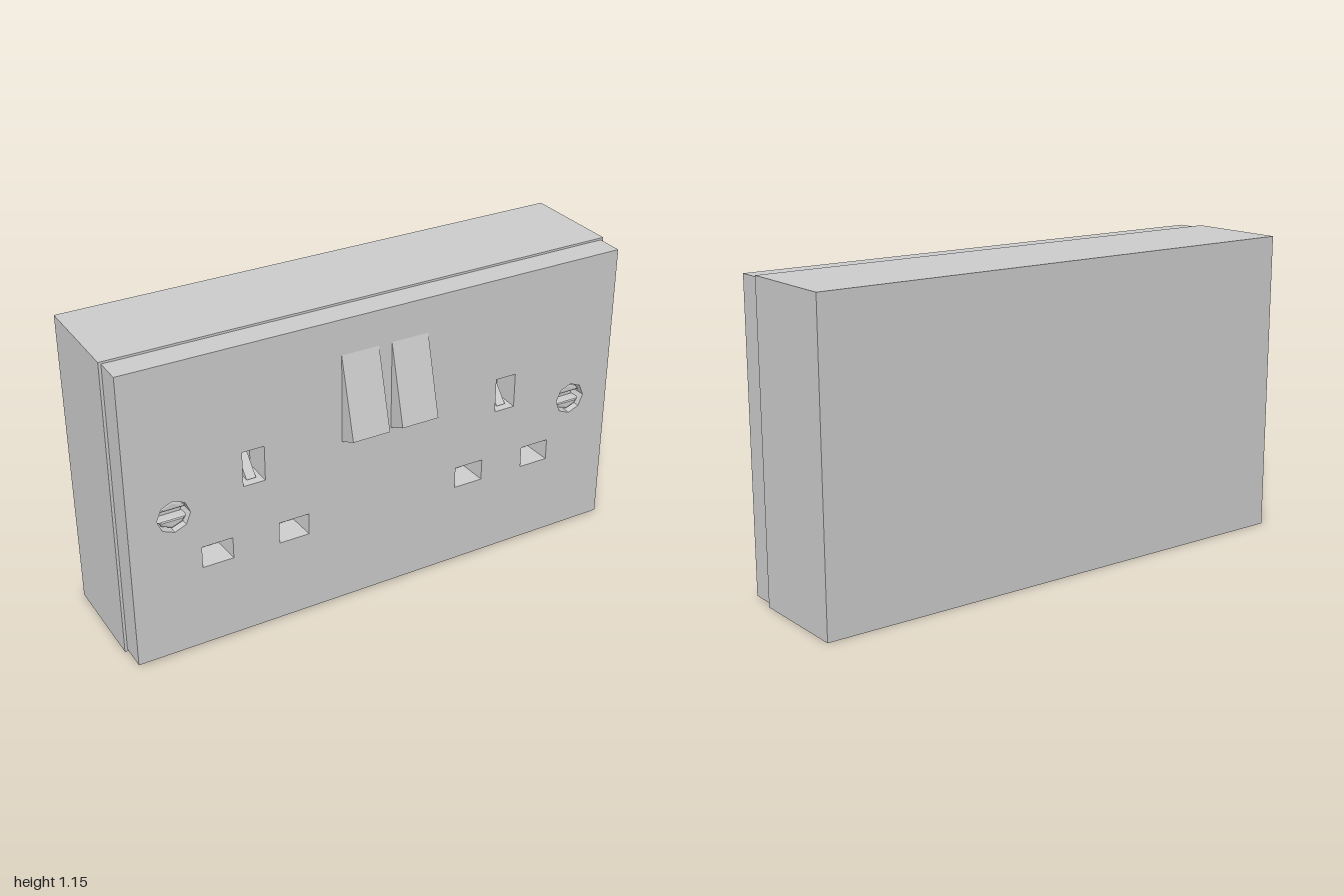
import * as THREE from 'three';

const material = new THREE.MeshStandardMaterial({ color: 0xcccccc, flatShading: true });
const BACK = -0.288, SEAM = 0.105, FACE = 0.208;

function add(parent, name, geometry, x = 0, y = 0, z = 0) {
  const mesh = new THREE.Mesh(geometry, material);
  mesh.name = name;
  mesh.position.set(x, y, z);
  parent.add(mesh);
  return mesh;
}

const polygon = (points) => new THREE.Shape(points.map(([x, y]) => new THREE.Vector2(x, y)));
const rect = (x, y, w, h) => polygon([
  [x - w / 2, y - h / 2], [x + w / 2, y - h / 2], [x + w / 2, y + h / 2], [x - w / 2, y + h / 2],
]);

// Side profile (z, y) extruded along x and centred on it
function sideExtrude(points, width) {
  return new THREE.ExtrudeGeometry(polygon(points), { depth: width, bevelEnabled: false })
    .rotateY(-Math.PI / 2).translate(width / 2, 0, 0);
}

// Openings in the face plate: pin slots and round screw recesses
const openings = [];
for (const cx of [-0.519, 0.515]) {
  openings.push({ x: cx, y: 0.675, w: 0.084, h: 0.135, taper: 0.84 });
  for (const s of [-1, 1]) openings.push({ x: cx + s * 0.149, y: 0.372, w: 0.118, h: 0.084, taper: 0.84 });
}
const screws = [-0.822, 0.818].map((x) => ({ x, y: 0.57, r: 0.062, taper: 0.94 }));

function plateGeometry() {
  const plate = rect(0, 0.5765, 1.98, 1.137);
  for (const o of openings) plate.holes.push(rect(o.x, o.y, o.w, o.h));
  for (const s of screws) {
    const points = [];
    for (let i = 0; i < 8; i++) {
      const a = i * Math.PI / 4;
      points.push([s.x + s.r * Math.cos(a), s.y + s.r * Math.sin(a)]);
    }
    plate.holes.push(polygon(points));
  }
  const geometry = new THREE.ExtrudeGeometry(plate, { depth: FACE - SEAM, bevelEnabled: false });
  // Narrow every opening toward the back
  const all = [...openings, ...screws], p = geometry.attributes.position;
  for (let i = 0; i < p.count; i++) {
    const x = p.getX(i), y = p.getY(i);
    if (Math.abs(x) > 0.95 || p.getZ(i) > 0.01) continue;
    const o = all.reduce((a, b) => (Math.hypot(x - a.x, y - a.y) < Math.hypot(x - b.x, y - b.y) ? a : b));
    p.setXY(i, o.x + (x - o.x) * o.taper, o.y + (y - o.y) * o.taper);
  }
  geometry.computeVertexNormals();
  return geometry;
}

// Half of a domed screw head, lying above the driver slot
function halfHeadGeometry() {
  const r = 0.044, gap = 0.024;
  const points = [[r * 0.9, gap], [r * 0.72, r * 0.72], [0, r], [-r * 0.72, r * 0.72], [-r * 0.9, gap]];
  return new THREE.ExtrudeGeometry(polygon(points), {
    depth: 0.025, bevelEnabled: true, bevelThickness: 0.012, bevelSize: 0.011, bevelSegments: 2,
  });
}

export function createModel() {
  const group = new THREE.Group();
  group.name = 'doubleWallSocket';

  // Housing and pierced face plate
  add(group, 'backBox', new THREE.BoxGeometry(2, 1.153, SEAM - BACK), 0, 0.5765, (BACK + SEAM) / 2);
  add(group, 'facePlate', plateGeometry(), 0, 0, SEAM);

  // Sloped rocker switches
  const rocker = sideExtrude([[FACE - 0.003, 0.67], [0.288, 0.708], [FACE, 1.01], [FACE - 0.003, 1.01]], 0.147);
  add(group, 'leftSwitch', rocker, 0.098);
  add(group, 'rightSwitch', rocker, -0.101);

  // Wedge shutters inside the upper pin slots
  const shutter = sideExtrude([[SEAM, 0.612], [0.185, 0.614], [SEAM, 0.7]], 0.036);
  openings.filter((o) => o.h > o.w).forEach((o) => add(group, 'earthShutter', shutter, o.x));

  // Slotted, domed screws
  const half = halfHeadGeometry();
  for (const s of screws) {
    const screw = new THREE.Group();
    screw.name = 'screw';
    screw.position.set(s.x, s.y, SEAM);
    add(screw, 'screwBase', new THREE.CylinderGeometry(0.055, 0.055, 0.045, 8)
      .rotateY(Math.PI / 2).rotateX(Math.PI / 2), 0, 0, 0.0225);
    add(screw, 'upperHead', half, 0, 0, 0.052);
    add(screw, 'lowerHead', half, 0, 0, 0.052).rotation.z = Math.PI;
    group.add(screw);
  }
  return group;
}
